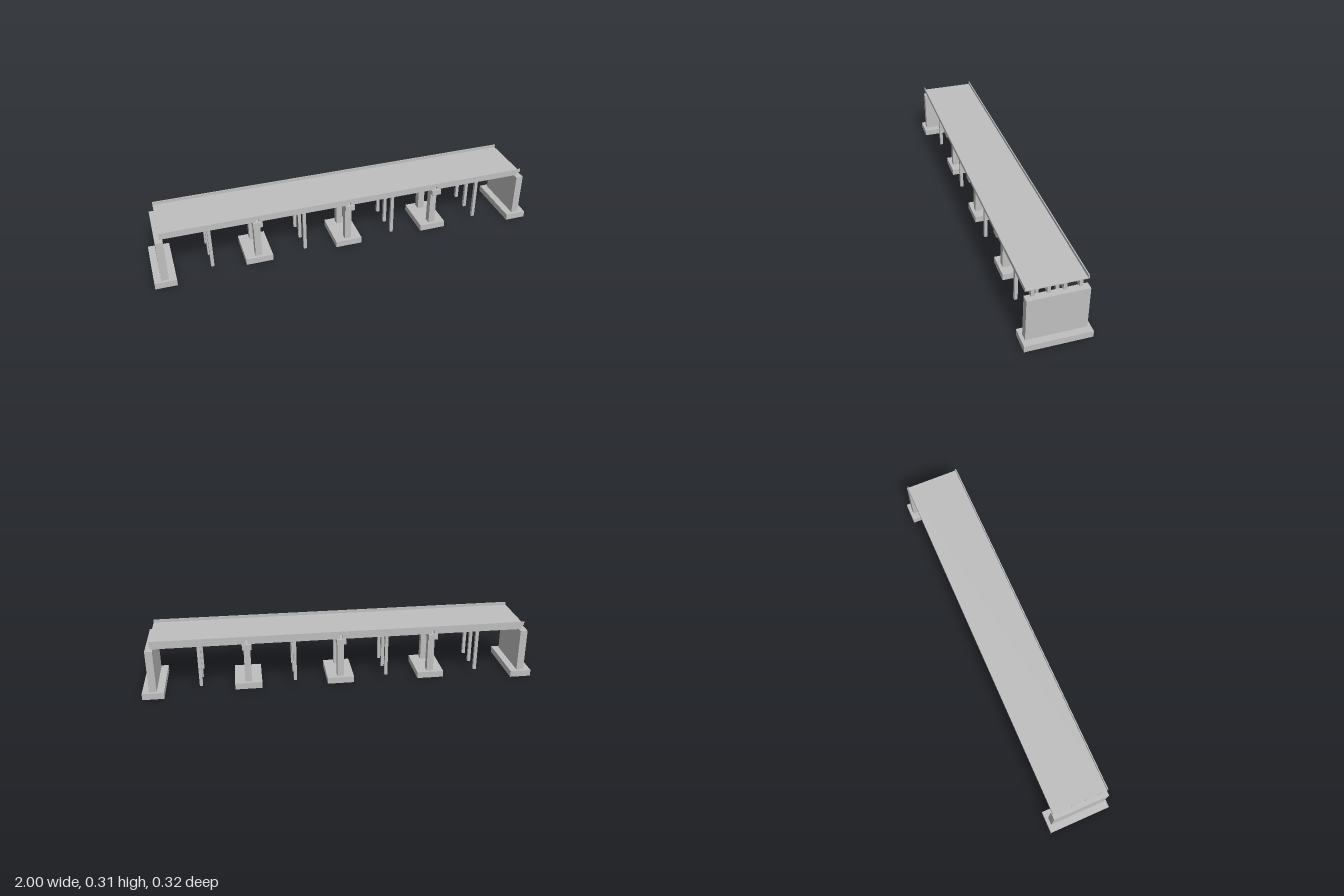
import * as THREE from 'three';

export function createModel() {
  const bridge = new THREE.Group();
  bridge.name = 'bridge';
  const concrete = new THREE.MeshStandardMaterial({ color: 0xbfbfbf });
  concrete.name = 'concrete';

  // Box from its centre in x and z, its bottom and top heights, and its width and depth
  function block(parent, name, x, z, bottom, top, width, depth) {
    const mesh = new THREE.Mesh(new THREE.BoxGeometry(width, top - bottom, depth), concrete);
    mesh.name = name;
    mesh.position.set(x, (bottom + top) / 2, z);
    parent.add(mesh);
  }
  function section(name) {
    const group = new THREE.Group();
    group.name = name;
    bridge.add(group);
    return group;
  }

  const footingTop = 0.033, seat = 0.253, girderTop = 0.286, deckTop = 0.29;
  const halfDeck = 0.942, pierSpacing = 0.473;

  // Deck slab with a low parapet along each side
  const deck = section('deck');
  block(deck, 'slab', 0, 0, girderTop, deckTop, 2 * halfDeck, 0.284);
  for (const side of [-1, 1]) {
    block(deck, 'parapet', 0, side * 0.1395, deckTop, 0.305, 2 * halfDeck, 0.005);
  }

  // Four girders in each of four spans, with a small joint over every pier
  const girders = section('girders');
  const joint = 0.006;
  const supports = [-halfDeck - joint, -pierSpacing, 0, pierSpacing, halfDeck + joint];
  for (let i = 0; i < 4; i++) {
    const start = supports[i] + joint, end = supports[i + 1] - joint;
    for (const z of [-0.107, -0.036, 0.036, 0.107]) {
      block(girders, 'girder', (start + end) / 2, z, seat, girderTop, end - start, 0.016);
    }
  }

  // Abutments at both ends
  for (const side of [-1, 1]) {
    const abutment = section('abutment');
    block(abutment, 'abutmentFooting', side * 0.946, 0, 0, footingTop, 0.108, 0.316);
    block(abutment, 'abutmentWall', side * 0.947, 0, footingTop, seat, 0.037, 0.284);
  }

  // Piers: footing, two columns and a cap beam
  for (const x of [-pierSpacing, 0, pierSpacing]) {
    const pier = section('pier');
    block(pier, 'pierFooting', x, 0, 0, footingTop, 0.138, 0.214);
    for (const side of [-1, 1]) {
      block(pier, 'column', x, side * 0.073, footingTop, 0.225, 0.034, 0.036);
    }
    block(pier, 'capBeam', x, 0, 0.225, seat, 0.048, 0.25);
  }

  // Row of three slender posts below the middle of each span
  for (const x of [-0.71, -0.235, 0.235, 0.71]) {
    const row = section('postRow');
    for (const z of [-0.1, 0, 0.1]) {
      block(row, 'post', x, z, footingTop, seat, 0.016, 0.016);
    }
  }

  return bridge;
}
